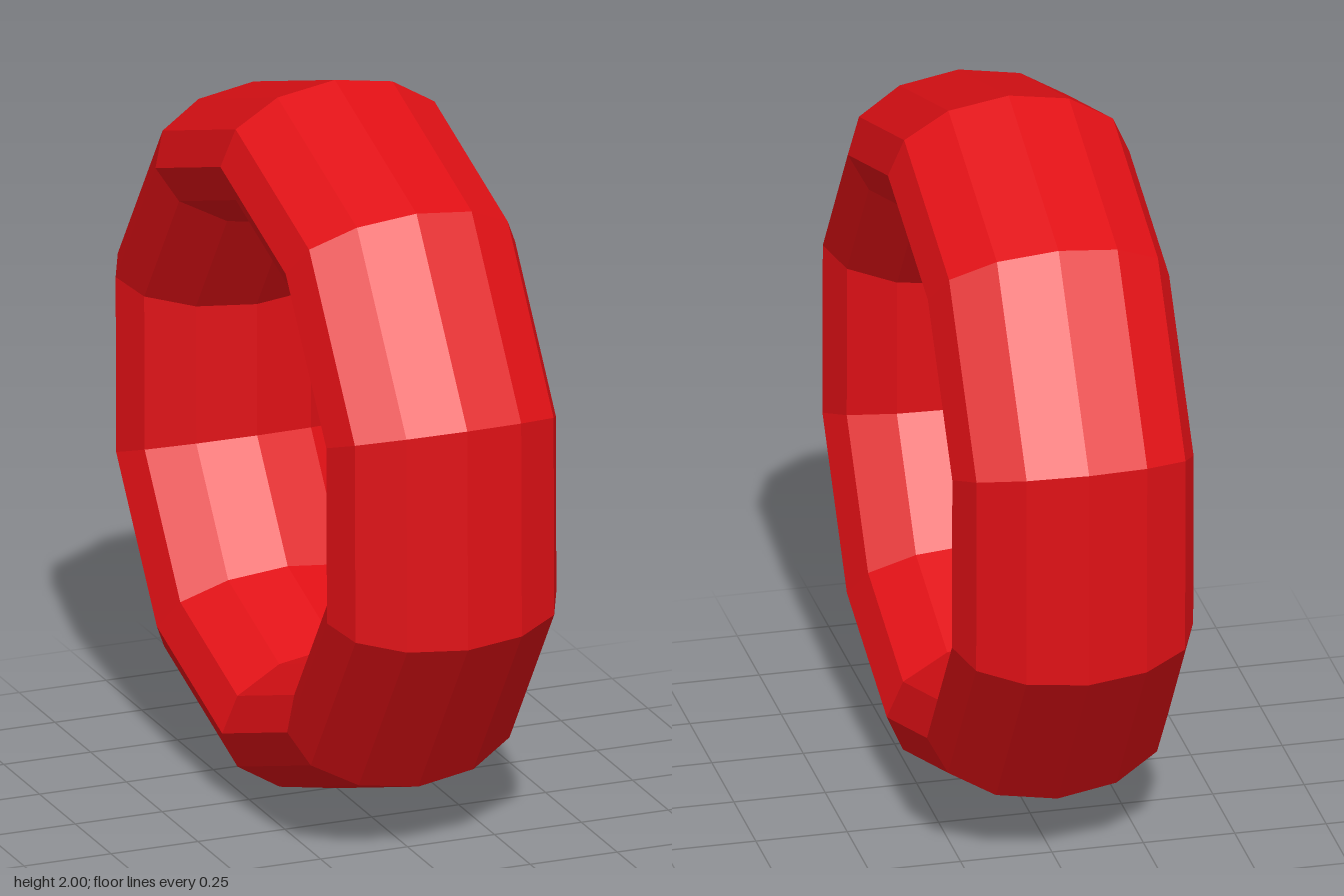
import * as THREE from 'three';

export function createModel() {
  const group = new THREE.Group();
  group.name = 'ring';

  // Ten-sided ring with a twelve-sided oval cross-section, its axle along x
  const geometry = new THREE.TorusGeometry(0.8, 0.2, 12, 10);
  geometry.rotateZ(Math.PI / 2 - 0.008); // a corner at the top, turned very slightly
  geometry.rotateY(Math.PI / 2);
  geometry.scale(1.65, 1, 0.968); // wide tread, slightly narrowed front to back
  geometry.translate(0, 1, 0);

  const material = new THREE.MeshStandardMaterial({ color: 0xe01015, flatShading: true });
  const body = new THREE.Mesh(geometry, material);
  body.name = 'ringBody';
  group.add(body);
  return group;
}
